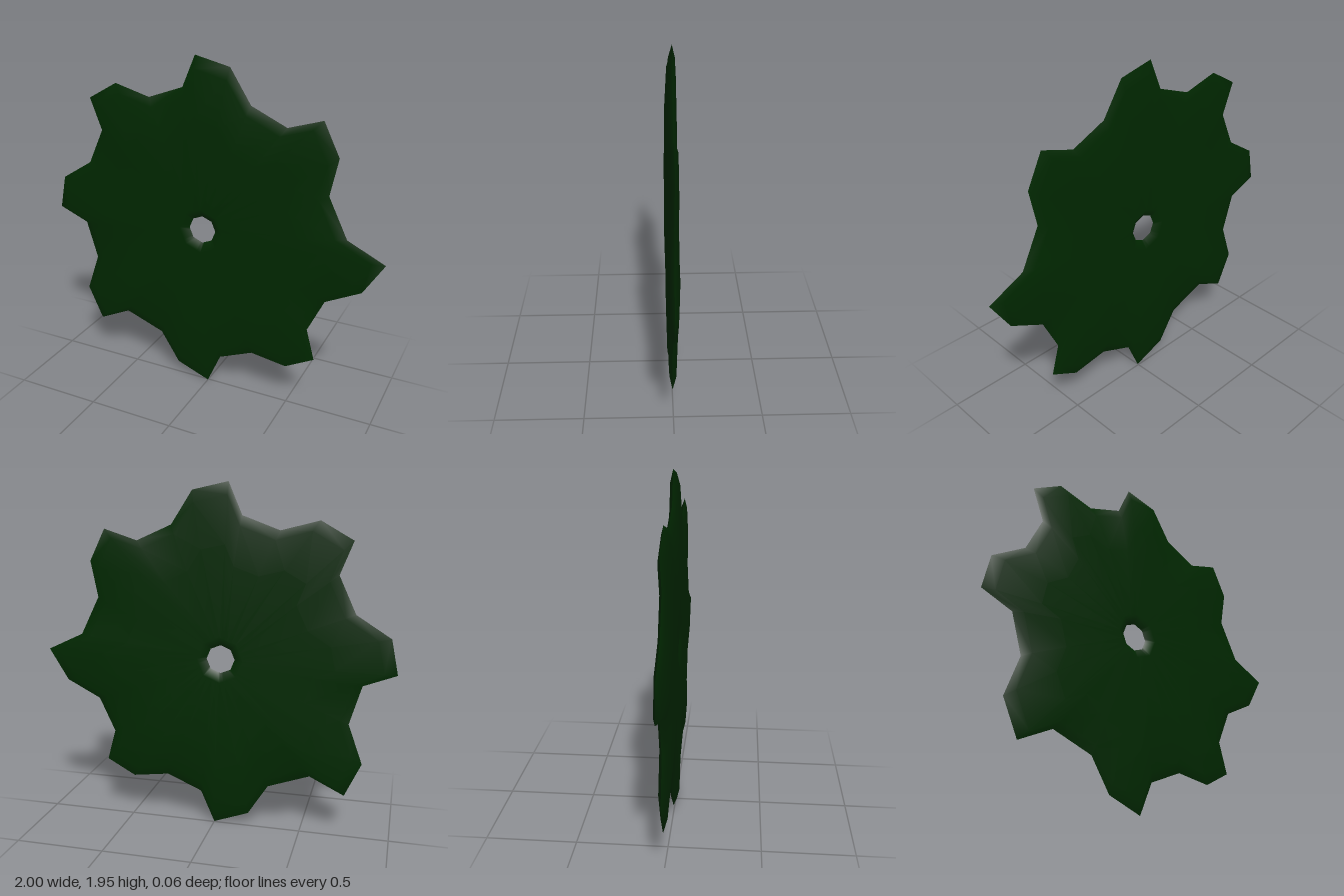
import * as THREE from 'three';

// Irregular eight-toothed outline, clockwise from the top tooth (four points per tooth)
const OUTLINE = [
  [-0.08, 1.95], [0.12, 1.905], [0.24, 1.72], [0.44, 1.63],
  [0.63, 1.69], [0.72, 1.51], [0.68, 1.305], [0.79, 1.085],
  [1.0, 0.985], [0.89, 0.805], [0.695, 0.705], [0.605, 0.51],
  [0.655, 0.33], [0.49, 0.24], [0.28, 0.27], [0.08, 0.185],
  [0.0, 0.0], [-0.2, 0.075], [-0.315, 0.255], [-0.55, 0.34],
  [-0.745, 0.245], [-0.835, 0.44], [-0.755, 0.665], [-0.82, 0.885],
  [-1.0, 0.955], [-0.96, 1.15], [-0.77, 1.27], [-0.675, 1.475],
  [-0.745, 1.655], [-0.57, 1.755], [-0.36, 1.7], [-0.155, 1.775],
].map(([x, y]) => new THREE.Vector2(x, y));

const CENTRE = new THREE.Vector2(-0.037, 0.985);
const N = OUTLINE.length;

// Octagonal loop around the hole, with as many points as the outline
function octagon(radius) {
  const corner = (k) => new THREE.Vector2(0, radius)
    .rotateAround(new THREE.Vector2(), -k * Math.PI / 4).add(CENTRE);
  return OUTLINE.map((_, i) => {
    const k = Math.floor(i / 4);
    return corner(k).lerp(corner(k + 1), (i % 4) / 4);
  });
}

const inset = (s) => OUTLINE.map((p) => CENTRE.clone().lerp(p, s));

// Rings from the sharp rim to the sharp hole edge: loop, half thickness, share of the rim's slight tilt
const RINGS = [
  [OUTLINE, 0, 1],
  [inset(0.93), 0.018, 0.7],
  [inset(0.66), 0.028, 0],
  [octagon(0.13), 0.028, 0],
  [octagon(0.08), 0, 0],
];

// One face of the disc; side is 1 for the front and -1 for the back
function faceGeometry(side) {
  const positions = [];
  const index = [];
  for (const [loop, half, tilt] of RINGS) {
    for (const p of loop) {
      positions.push(p.x, p.y, side * half + tilt * (0.008 * p.x - 0.006 * (p.y - 1)));
    }
  }
  for (let r = 0; r < RINGS.length - 1; r++) {
    for (let i = 0; i < N; i++) {
      const a = r * N + i, b = r * N + (i + 1) % N;
      const c = a + N, d = b + N;
      if (side > 0) index.push(a, c, b, b, c, d);
      else index.push(a, b, c, b, d, c);
    }
  }
  const geometry = new THREE.BufferGeometry();
  geometry.setAttribute('position', new THREE.Float32BufferAttribute(positions, 3));
  geometry.setIndex(index);
  geometry.computeVertexNormals();
  return geometry;
}

export function createModel() {
  const group = new THREE.Group();
  group.name = 'toothedDisc';
  const material = new THREE.MeshStandardMaterial({ color: 0x002800 });

  for (const [name, side] of [['frontFace', 1], ['backFace', -1]]) {
    const mesh = new THREE.Mesh(faceGeometry(side), material);
    mesh.name = name;
    group.add(mesh);
  }
  return group;
}
